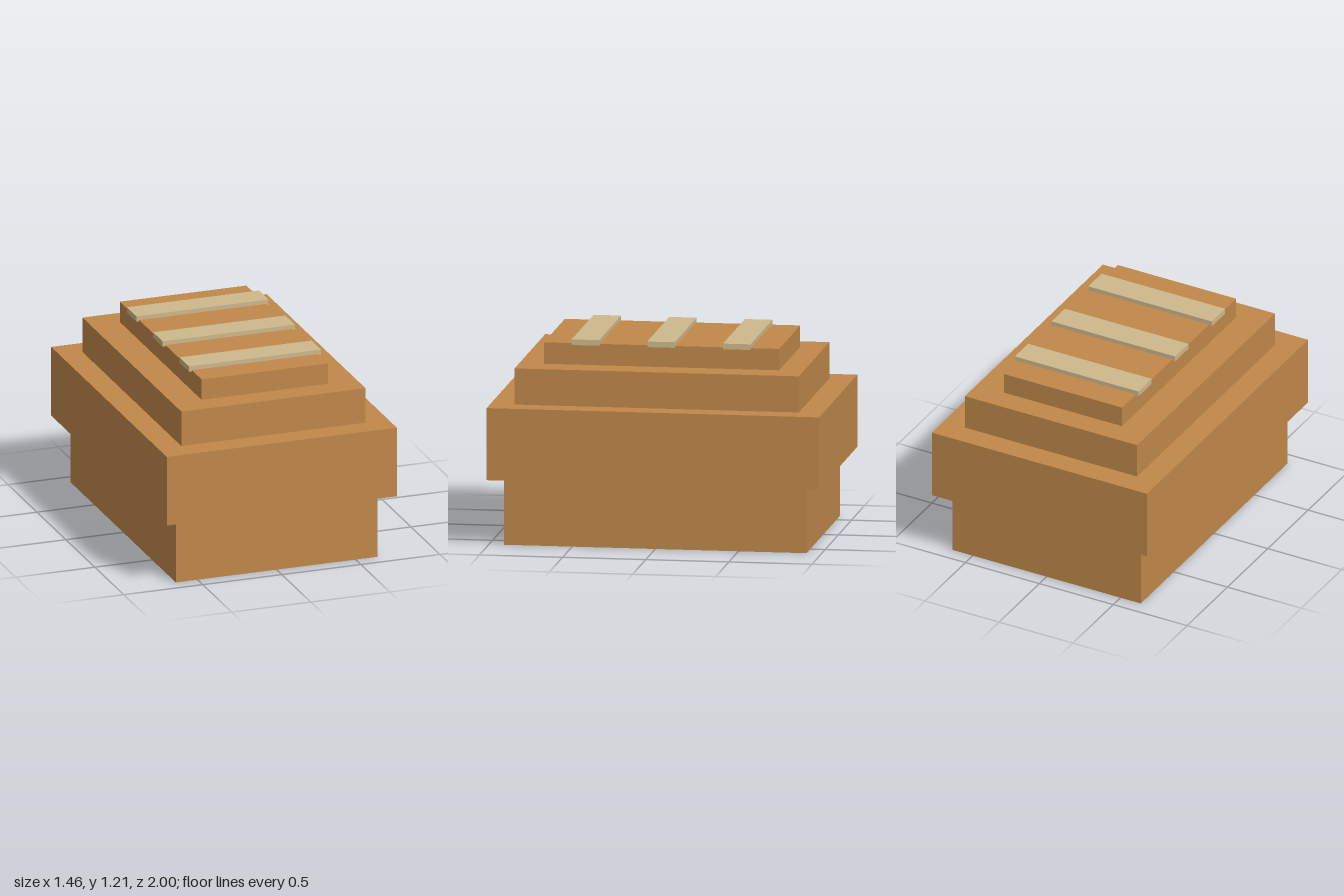
import * as THREE from 'three';

export function createModel() {
  const model = new THREE.Group();
  const crust = new THREE.MeshStandardMaterial({ color: 0xc0884a });
  crust.name = 'crust brown';
  const pale = new THREE.MeshStandardMaterial({ color: 0xcdb98d });
  pale.name = 'pale tan';

  // Box spanning y0 to y1, centred on x = 0
  const addBox = (name, material, width, depth, y0, y1, z = 0) => {
    const mesh = new THREE.Mesh(new THREE.BoxGeometry(width, y1 - y0, depth), material);
    mesh.name = name;
    mesh.position.set(0, (y0 + y1) / 2, z);
    model.add(mesh);
  };

  // Stepped loaf body, bottom to top
  addBox('base', crust, 1.275, 1.82, 0, 0.403);
  addBox('body', crust, 1.455, 2, 0.403, 0.838);
  addBox('upperTier', crust, 1.165, 1.71, 0.838, 1.056);
  addBox('topTier', crust, 0.8, 1.415, 1.056, 1.185);

  // Score strips across the top, overhanging it slightly
  [-0.455, 0, 0.455].forEach((z, i) => {
    addBox(`scoreStrip${i + 1}`, pale, 0.836, 0.165, 1.177, 1.211, z);
  });

  return model;
}
